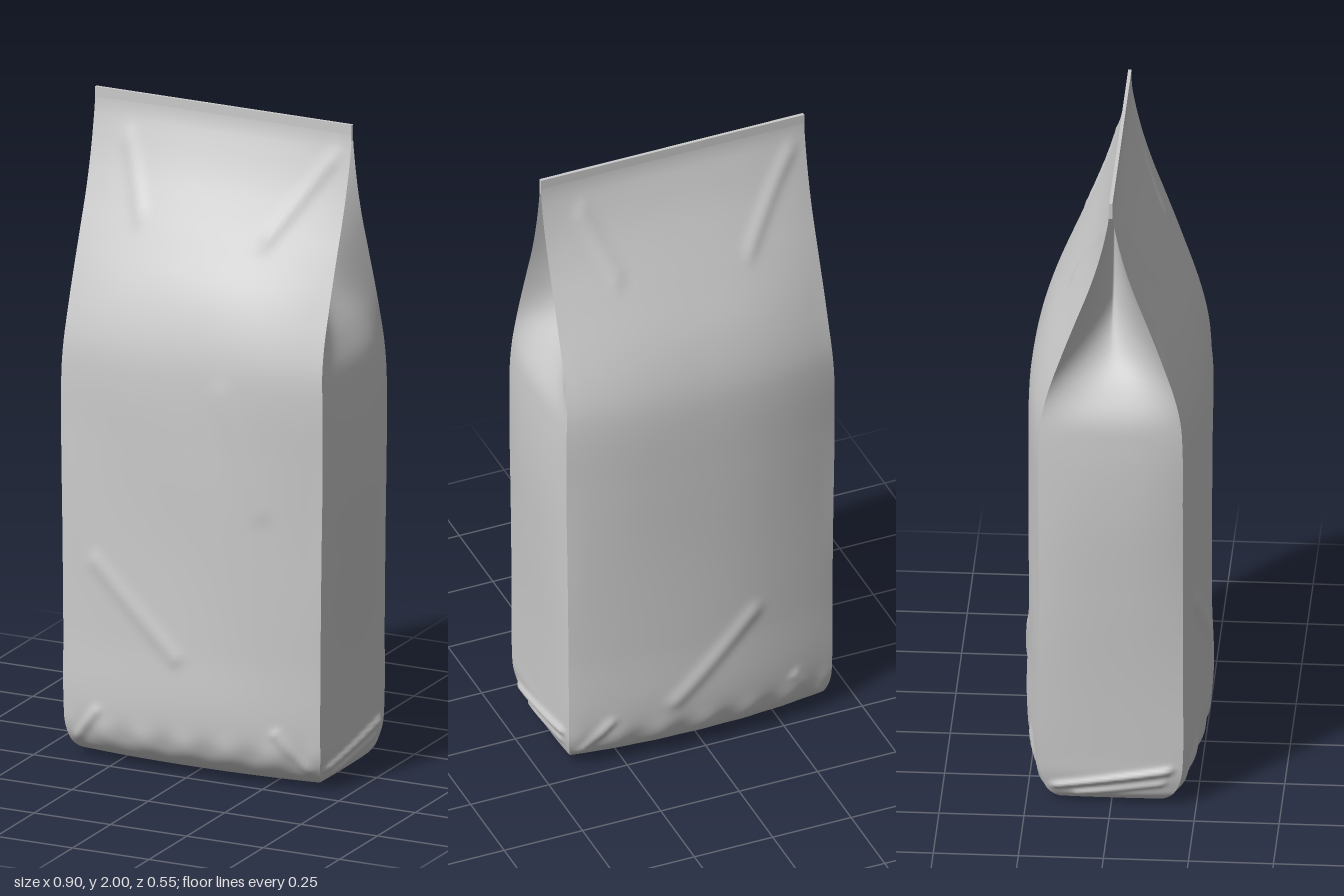
import * as THREE from 'three';

// Bag profile by height: y, corner x, corner z, mid-panel z, mid-side x
const PROFILE = [
  [0, 0.36, 0.115, 0.125, 0.36],
  [0.01, 0.385, 0.145, 0.17, 0.387],
  [0.03, 0.402, 0.175, 0.207, 0.408],
  [0.06, 0.411, 0.195, 0.237, 0.417],
  [0.1, 0.418, 0.207, 0.257, 0.424],
  [0.16, 0.42, 0.212, 0.267, 0.425],
  [0.4, 0.421, 0.212, 0.265, 0.43],
  [0.7, 0.424, 0.212, 0.263, 0.441],
  [1.0, 0.428, 0.212, 0.265, 0.449],
  [1.2, 0.427, 0.211, 0.264, 0.442],
  [1.28, 0.423, 0.205, 0.258, 0.432],
  [1.36, 0.42, 0.187, 0.242, 0.395],
  [1.46, 0.419, 0.155, 0.21, 0.335],
  [1.6, 0.418, 0.105, 0.148, 0.275],
  [1.7, 0.418, 0.068, 0.102, 0.256],
  [1.8, 0.419, 0.037, 0.058, 0.25],
  [1.9, 0.42, 0.014, 0.022, 0.25],
  [1.95, 0.42, 0.006, 0.007, 0.25],
  [2.0, 0.42, 0.004, 0.004, 0.25],
];
const spline = new THREE.CubicInterpolant(
  new Float32Array(PROFILE.map((r) => r[0])),
  new Float32Array(PROFILE.flatMap((r) => r.slice(1))), 4);
const section = (y) => Array.from(spline.evaluate(Math.min(y, 1.9999)));

// Soft fold along a segment: x0, y0, x1, y1, width, height
const FRONT_FOLDS = [
  [-0.3, 0.62, -0.03, 0.37, 0.025, 0.007],
  [0.12, 1.2, 0.24, 0.85, 0.03, 0.004],
  [0.37, 1.9, 0.2, 1.65, 0.022, 0.007],
  [-0.3, 1.87, -0.22, 1.66, 0.02, 0.006],
  [-0.38, 0.06, -0.3, 0.16, 0.015, 0.008],
  [0.38, 0.06, 0.29, 0.17, 0.015, 0.008],
];
const BACK_FOLDS = [
  [-0.1, 0.2, 0.15, 0.45, 0.025, 0.007],
  ...FRONT_FOLDS.slice(2),
];
const SIDE_FOLDS = [
  [-0.17, 0.06, 0.17, 0.12, 0.012, 0.012],
  [-0.1, 0.035, 0.15, 0.075, 0.01, 0.006],
];

function foldHeight(folds, x, y) {
  let sum = 0;
  for (const [x0, y0, x1, y1, w, h] of folds) {
    const dx = x1 - x0, dy = y1 - y0;
    const t = THREE.MathUtils.clamp(((x - x0) * dx + (y - y0) * dy) / (dx * dx + dy * dy), 0, 1);
    const d = Math.hypot(x - x0 - t * dx, y - y0 - t * dy);
    sum += h * Math.exp(-((d / w) ** 2));
  }
  return sum;
}

// Surface from a rule; u runs right and v runs up as seen from outside
function surface(rule, nu, nv) {
  const pos = [], index = [];
  for (let j = 0; j <= nv; j++)
    for (let i = 0; i <= nu; i++) pos.push(...rule((i / nu) * 2 - 1, j / nv));
  for (let j = 0; j < nv; j++)
    for (let i = 0; i < nu; i++) {
      const a = j * (nu + 1) + i, b = a + nu + 1;
      index.push(a, a + 1, b + 1, a, b + 1, b);
    }
  const g = new THREE.BufferGeometry();
  g.setAttribute('position', new THREE.Float32BufferAttribute(pos, 3));
  g.setIndex(index);
  g.computeVertexNormals();
  return g;
}

const heightAt = (v) => 2 * Math.pow(v, 1.6); // finer rows near the base

// Broad front or back face, bulging between its corners
function panelRule(sign, folds) {
  return (s, v) => {
    const y = heightAt(v);
    const [hx, cz, mz] = section(y);
    const inner = 1 - Math.abs(s) ** 2.2;
    const edge = Math.min(1, (1 - Math.abs(s)) * 12);
    const low = Math.exp(-(((y - 0.09) / 0.045) ** 2));
    const fade = edge * Math.min(1, y * 30) * Math.min(1, (2 - y) * 8);
    const crumple = 0.004 * Math.cos(s * 19) * low
      + 0.002 * Math.sin(s * 5 + y * 4) * Math.sin(y * 6);
    const z = cz + (mz - cz) * inner + fade * (crumple * Math.min(1, mz * 5) + foldHeight(folds, s * hx, y));
    return [sign * s * hx, y, sign * z];
  };
}

// Narrow side, flat below and tucked inward above
function sideRule(sign) {
  return (q, v) => {
    const y = heightAt(v);
    const [hx, cz, , sx] = section(y);
    const sharp = THREE.MathUtils.smoothstep(y, 1.3, 1.65);
    const bend = 1 - Math.abs(q) ** (2.4 - 1.4 * sharp);
    const edge = Math.min(1, (1 - Math.abs(q)) * 5) * Math.min(1, y * 30);
    const x = hx + (sx - hx) * bend + edge * foldHeight(SIDE_FOLDS, q * cz, y);
    return [sign * x, y, -sign * q * cz];
  };
}

export function createModel() {
  const bag = new THREE.Group();
  bag.name = 'gussetedBag';
  const paper = new THREE.MeshStandardMaterial({ color: 0xcccccc, side: THREE.DoubleSide });
  paper.name = 'pale grey';

  const add = (name, geometry) => {
    const mesh = new THREE.Mesh(geometry, paper);
    mesh.name = name;
    bag.add(mesh);
    return mesh;
  };

  add('frontPanel', surface(panelRule(1, FRONT_FOLDS), 64, 120));
  add('backPanel', surface(panelRule(-1, BACK_FOLDS), 64, 120));
  add('leftGusset', surface(sideRule(1), 32, 120));
  add('rightGusset', surface(sideRule(-1), 32, 120));

  // Flat base closing the lowest section
  const [hx, cz, mz] = section(0);
  add('base', surface((s, v) => {
    const z = cz + (mz - cz) * (1 - Math.abs(s) ** 2.2);
    return [s * hx, 0, (v * 2 - 1) * z];
  }, 64, 4));

  // Pressed seal along the top edge
  add('topSeal', new THREE.BoxGeometry(0.84, 0.05, 0.01)).position.y = 1.975;
  return bag;
}
